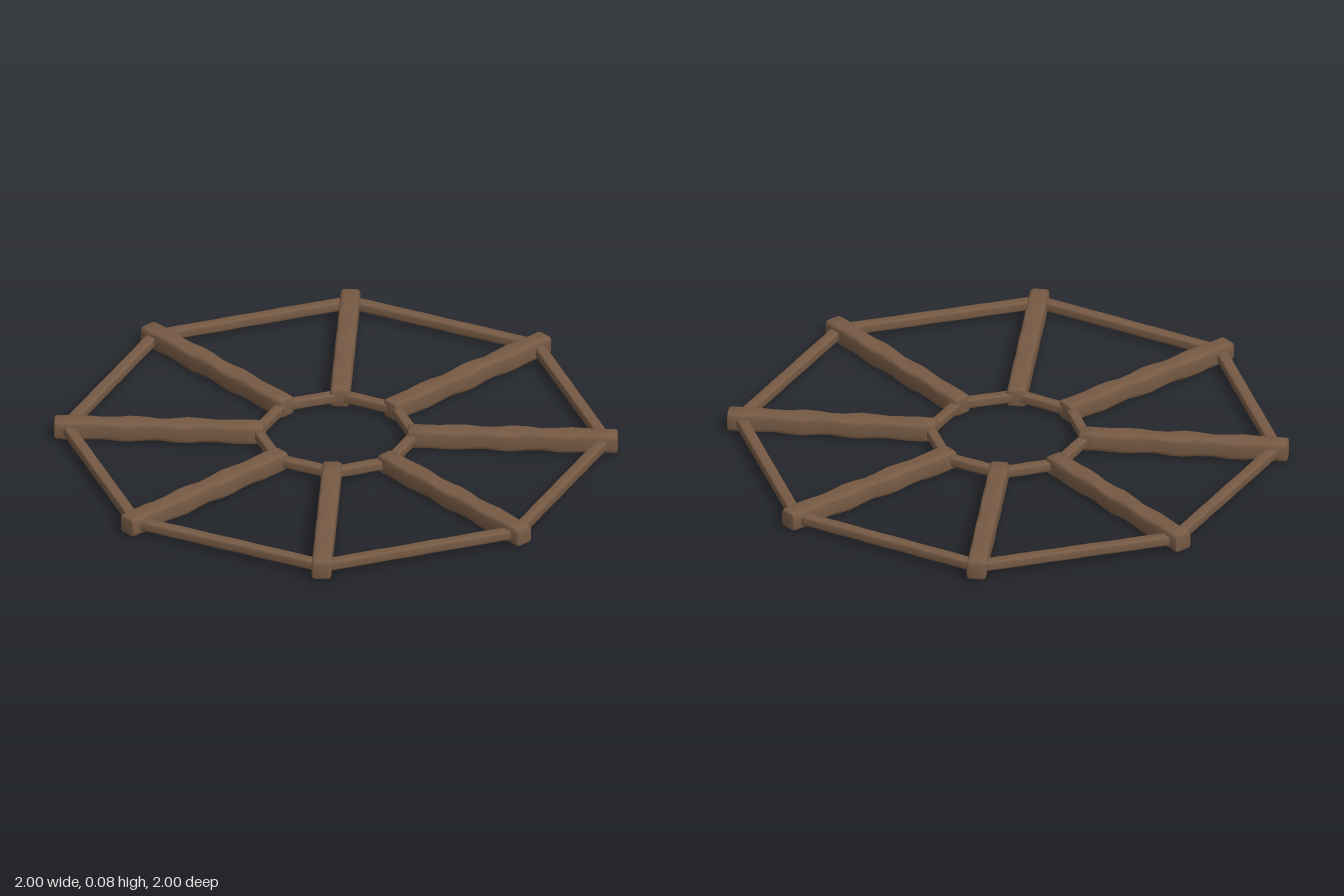
import * as THREE from 'three';
import { mergeVertices, toCreasedNormals } from 'three/addons/utils/BufferGeometryUtils.js';

const SIDES = 8;
const MID_Y = 0.041;

// Rounded timber lying along z, centred on the origin, with a slightly uneven hewn surface
function timber(width, height, length, radius, wobble) {
  const w = width / 2, h = height / 2, r = radius;
  const s = new THREE.Shape();
  s.moveTo(-w + r, -h);
  s.lineTo(w - r, -h);
  s.quadraticCurveTo(w, -h, w, -h + r);
  s.lineTo(w, h - r);
  s.quadraticCurveTo(w, h, w - r, h);
  s.lineTo(-w + r, h);
  s.quadraticCurveTo(-w, h, -w, h - r);
  s.lineTo(-w, -h + r);
  s.quadraticCurveTo(-w, -h, -w + r, -h);
  const bevel = r * 0.7;
  let g = new THREE.ExtrudeGeometry(s, {
    depth: length - 2 * bevel, steps: 14, curveSegments: 3,
    bevelEnabled: true, bevelSize: bevel, bevelThickness: bevel, bevelOffset: -bevel, bevelSegments: 2,
  });
  g.center();
  const p = g.attributes.position;
  for (let i = 0; i < p.count; i++) {
    const z = p.getZ(i), fade = Math.cos(Math.PI * z / length);
    p.setY(i, p.getY(i) + wobble * fade * Math.sin(z * 31 + p.getX(i) * 40));
  }
  g.deleteAttribute('normal');
  g.deleteAttribute('uv');
  g = mergeVertices(g, 1e-5);
  return toCreasedNormals(g, 0.7);
}

export function createModel() {
  const model = new THREE.Group();
  model.name = 'spokedFrame';
  const wood = new THREE.MeshStandardMaterial({ color: 0x765a44 });
  wood.name = 'brownWood';

  // Places a beam at a distance from the centre, turned about the vertical axis
  function place(name, geometry, angle, distance, turn) {
    const mesh = new THREE.Mesh(geometry, wood);
    mesh.name = name;
    mesh.position.set(Math.sin(angle) * distance, MID_Y, Math.cos(angle) * distance);
    mesh.rotation.y = angle + turn;
    model.add(mesh);
  }

  // Eight radial spokes
  const inner = 0.255, outer = 1;
  const spoke = timber(0.07, 0.07, outer - inner, 0.015, 0.005);
  for (let i = 0; i < SIDES; i++) {
    place('spoke', spoke, i * 2 * Math.PI / SIDES, (inner + outer) / 2, 0);
  }

  // Octagonal hub ring and rim, one straight bar between each pair of spokes
  const half = Math.PI / SIDES;
  for (const [name, radius, width] of [['hubBar', 0.28, 0.036], ['rimBar', 0.957, 0.04]]) {
    const bar = timber(width, 0.035, 2 * radius * Math.sin(half), 0.006, 0.0008);
    for (let i = 0; i < SIDES; i++) {
      place(name, bar, (2 * i + 1) * half, radius * Math.cos(half), Math.PI / 2);
    }
  }
  return model;
}
